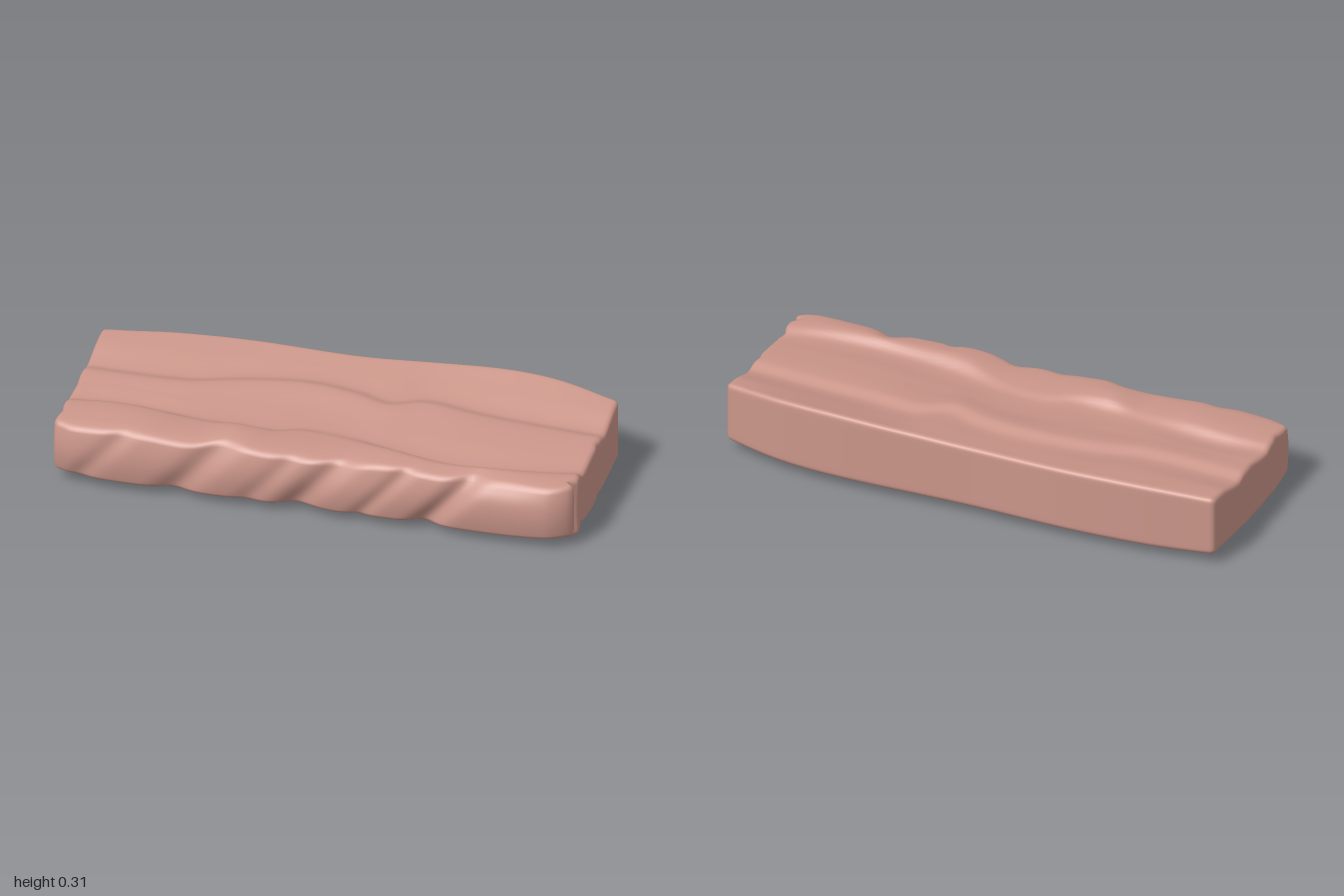
import * as THREE from 'three';
import { mergeVertices } from 'three/addons/utils/BufferGeometryUtils.js';

// Smooth curve through [position, value] pairs (cubic Hermite)
function curve(pts, x) {
  const n = pts.length - 1;
  if (x <= pts[0][0]) return pts[0][1];
  if (x >= pts[n][0]) return pts[n][1];
  let i = 0;
  while (x > pts[i + 1][0]) i++;
  const slope = (a, b) => (pts[b][1] - pts[a][1]) / (pts[b][0] - pts[a][0]);
  const m0 = slope(Math.max(i - 1, 0), i + 1);
  const m1 = slope(i, Math.min(i + 2, n));
  const w = pts[i + 1][0] - pts[i][0], t = (x - pts[i][0]) / w;
  const t2 = t * t, t3 = t2 * t;
  return (2 * t3 - 3 * t2 + 1) * pts[i][1] + (t3 - 2 * t2 + t) * w * m0
    + (3 * t2 - 2 * t3) * pts[i + 1][1] + (t3 - t2) * w * m1;
}

const bump = (x, centre, width) => Math.exp(-(((x - centre) / width) ** 2));

// Plan outline and the lines running along the slab
const backZ = [[-1, -0.315], [-0.9, -0.325], [-0.7, -0.35], [-0.4, -0.368], [0, -0.365], [0.5, -0.385], [0.75, -0.37], [1, -0.31]];
const frontZ = [[-1, 0.345], [-0.9, 0.372], [-0.6, 0.372], [0, 0.365], [0.4, 0.36], [0.7, 0.37], [0.9, 0.36], [0.96, 0.335], [1, 0.30]];
const backY = [[-1, 0.29], [-0.7, 0.302], [0, 0.3], [0.3, 0.31], [0.6, 0.318], [0.85, 0.312], [1, 0.295]];
const crestZ = [[-1, -0.04], [-0.6, -0.04], [-0.4, -0.09], [-0.15, -0.12], [0.05, -0.1], [0.18, -0.06], [0.3, -0.11], [0.5, -0.09], [1, -0.06]];
const crestY = [[-1, 0.26], [-0.5, 0.268], [-0.15, 0.28], [0.1, 0.274], [0.35, 0.272], [0.6, 0.262], [1, 0.258]];
const grooveZ = [[-1, 0.15], [-0.8, 0.135], [-0.55, 0.155], [-0.2, 0.17], [-0.08, 0.13], [0.1, 0.145], [0.3, 0.2], [0.52, 0.225], [0.8, 0.21], [1, 0.17]];
const lipY = [[-1, 0.255], [-0.7, 0.267], [-0.45, 0.252], [-0.32, 0.27], [-0.15, 0.255], [0.1, 0.25], [0.28, 0.267], [0.5, 0.256], [0.75, 0.262], [1, 0.255]];
const underside = [[-0.39, 0.042], [-0.28, 0.03], [-0.08, 0.014], [0.05, 0.002], [0.19, 0.012], [0.25, 0.001], [0.285, 0.012], [0.31, 0.027], [0.38, 0.034]];

// Worn upper surface: high back, hollow, crest, groove and front lip
function topY(x, z) {
  const c = curve(crestZ, x), cy = curve(crestY, x), g = curve(grooveZ, x), l = curve(lipY, x);
  const floor = 0.24 - 0.01 * bump(x, 0.5, 0.25);
  return curve([[-0.38, curve(backY, x)], [(c - 0.38) / 2 - 0.02, 0.279], [c - 0.06, cy - 0.013], [c, cy],
    [(c + g) / 2, 0.252], [g, floor], [g + 0.045, l], [0.32, l - 0.002], [0.38, l - 0.016]], z);
}

// Slanted hollows chipped into the front face
function chips(x, y) {
  const s = x - (y - 0.15) * 0.9, low = Math.max(0, 1 - y / 0.25);
  return 0.028 * bump(s, -0.43, 0.07) + 0.026 * bump(s, 0.03, 0.06) + 0.034 * bump(s, 0.53, 0.055)
    + 0.012 * bump(s, -0.8, 0.05) + 0.014 * bump(s, 0.28, 0.04) + 0.012 * bump(s, -0.15, 0.05)
    + 0.02 * low * bump(x, -0.02, 0.08) + 0.02 * bump(x, 0.74, 0.17) * bump(y, 0.25, 0.04);
}

// Even grid coordinate, tightened near both edges for the rounding
function spread(v, half, segments, r) {
  const i = Math.round((v / (2 * half) + 0.5) * segments);
  const e = Math.min(i, segments - i);
  if (e <= 3) return Math.sign(v) * (half - r * e / 3);
  return -half + r + (i - 3) / (segments - 6) * 2 * (half - r);
}

function slabGeometry() {
  const half = [1, 0.13, 0.375], segs = [130, 18, 64], r = 0.022;
  let geo = new THREE.BoxGeometry(2, 0.26, 0.75, ...segs);
  geo.deleteAttribute('normal');
  geo.deleteAttribute('uv');
  geo = mergeVertices(geo, 1e-5);
  const pos = geo.attributes.position;
  const p = new THREE.Vector3(), inner = new THREE.Vector3();
  for (let i = 0; i < pos.count; i++) {
    p.fromBufferAttribute(pos, i);
    // round the edges of the block
    p.fromArray(p.toArray().map((v, k) => spread(v, half[k], segs[k], r)));
    inner.fromArray(p.toArray().map((v, k) => THREE.MathUtils.clamp(v, r - half[k], half[k] - r)));
    p.sub(inner);
    if (p.lengthSq() > 0) p.setLength(Math.max(Math.abs(p.x), Math.abs(p.y), Math.abs(p.z)));
    p.add(inner);

    // shape the block into the slab
    const across = p.z / 0.75 + 0.5, up = p.y / 0.26 + 0.5;
    let x = p.x;
    let z = THREE.MathUtils.lerp(curve(backZ, x), curve(frontZ, x), across);
    const bottom = curve(underside, z) + 0.016 * x ** 6;
    const y = THREE.MathUtils.lerp(bottom, topY(x, z), up);
    const nearFront = THREE.MathUtils.smoothstep(across, 0.84, 1);
    z -= chips(x, y) * nearFront;
    z += 0.016 * Math.sin(Math.PI * up) * nearFront;

    // upright grooves in the two ends
    const nearEnd = THREE.MathUtils.smoothstep(Math.abs(x), 0.9, 1);
    const cut = x > 0
      ? 0.028 * bump(z, 0.275, 0.014) + 0.01 * bump(z, 0.19, 0.02) + 0.006 * bump(z, -0.03, 0.02)
      : 0.01 + 0.008 * bump(z, 0.26, 0.03) + 0.005 * bump(z, 0.05, 0.04);
    x -= Math.sign(x) * cut * nearEnd;
    pos.setXYZ(i, x, y, z);
  }
  geo.computeBoundingBox();
  geo.translate(0, -geo.boundingBox.min.y, 0);
  geo.computeVertexNormals();
  return geo;
}

export function createModel() {
  const group = new THREE.Group();
  group.name = 'stoneSlab';
  const stone = new THREE.MeshStandardMaterial({ color: 0xcb968a });
  stone.name = 'pinkStone';
  const slab = new THREE.Mesh(slabGeometry(), stone);
  slab.name = 'slab';
  group.add(slab);
  return group;
}
